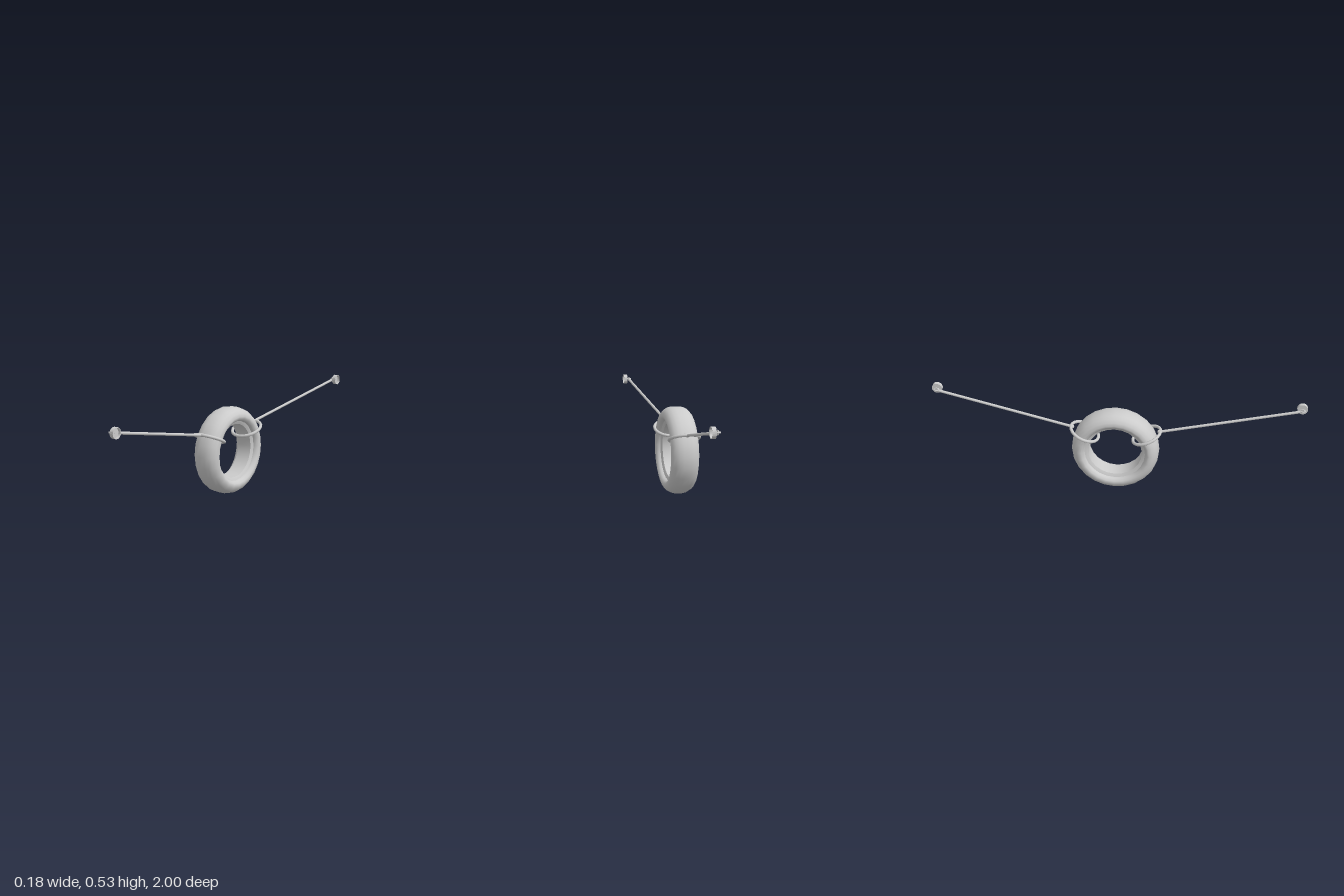
import * as THREE from 'three';
import { toCreasedNormals } from 'three/addons/utils/BufferGeometryUtils.js';

const mat = new THREE.MeshStandardMaterial({ color: 0xcccccc });
const cupMat = new THREE.MeshStandardMaterial({ color: 0xcccccc, side: THREE.DoubleSide });
const V = (x, y, z) => new THREE.Vector3(x, y, z);

function add(parent, name, geometry, material = mat) {
  const mesh = new THREE.Mesh(geometry, material);
  mesh.name = name;
  parent.add(mesh);
  return mesh;
}

// Cylinder running between two points
function rod(parent, name, a, b, radius, sides = 8) {
  const dir = b.clone().sub(a);
  const mesh = add(parent, name, new THREE.CylinderGeometry(radius, radius, dir.length(), sides));
  mesh.position.copy(a).add(b).multiplyScalar(0.5);
  mesh.quaternion.setFromUnitVectors(V(0, 1, 0), dir.normalize());
  return mesh;
}

export function createModel() {
  const model = new THREE.Group();
  model.name = 'tireSwing';

  // Tire: closed section (radius, half width) revolved around the x axis
  const half = [
    [0.145, 0.042], [0.152, 0.046], [0.162, 0.05], [0.165, 0.062], [0.176, 0.073],
    [0.187, 0.0755], [0.204, 0.07], [0.22, 0.056], [0.23, 0.038], [0.2345, 0.016],
  ];
  const section = [
    ...half.map(([r, x]) => new THREE.Vector2(r, -x)),
    ...half.slice().reverse().map(([r, x]) => new THREE.Vector2(r, x)),
  ];
  section.push(section[0].clone());
  const tire = add(model, 'tire', toCreasedNormals(new THREE.LatheGeometry(section, 24), 0.75));
  tire.rotation.z = -Math.PI / 2;
  tire.position.y = 0.235;

  for (const side of [1, -1]) {
    const hanger = new THREE.Group();
    hanger.name = side > 0 ? 'frontHanger' : 'backHanger';
    model.add(hanger);

    // Rope loop wrapped round the tire section
    const loop = add(hanger, 'ropeLoop', new THREE.TorusGeometry(0.08, 0.0085, 8, 20));
    loop.position.set(0, 0.326, side * 0.166);
    loop.rotation.x = Math.PI / 2 - side * 0.4;

    // Straight rope with a knot at the tire and an eye at the wall
    const start = V(0, 0.354, side * 0.232);
    const end = V(0.056, 0.496, side * 0.962);
    rod(hanger, 'rope', start, end, 0.0075);
    const knot = add(hanger, 'knot', new THREE.SphereGeometry(0.0105, 10, 8));
    knot.position.copy(start);
    const eye = add(hanger, 'ropeEye', new THREE.TorusGeometry(0.01, 0.0035, 6, 12));
    eye.position.set(0.057, 0.499, side * 0.97);
    eye.rotation.y = Math.PI / 2;

    // Horizontal anchor ring and its short shank
    const ring = add(hanger, 'anchorRing', new THREE.TorusGeometry(0.012, 0.004, 6, 14));
    ring.position.set(0.058, 0.5, side * 0.972);
    ring.rotation.x = Math.PI / 2;
    rod(hanger, 'anchorShank', V(0.068, 0.5, side * 0.972), V(0.078, 0.5, side * 0.972), 0.004);

    // Round wall cup, open towards the wall
    const cup = [[0, 0], [0.028, 0], [0.028, 0.02], [0.025, 0.02], [0.025, 0.006], [0, 0.006]]
      .map(([r, h]) => new THREE.Vector2(r, h));
    const mount = add(hanger, 'wallCup', toCreasedNormals(new THREE.LatheGeometry(cup, 20), 0.6), cupMat);
    mount.rotation.z = -Math.PI / 2;
    mount.position.set(0.07, 0.5, side * 0.972);
  }
  return model;
}
